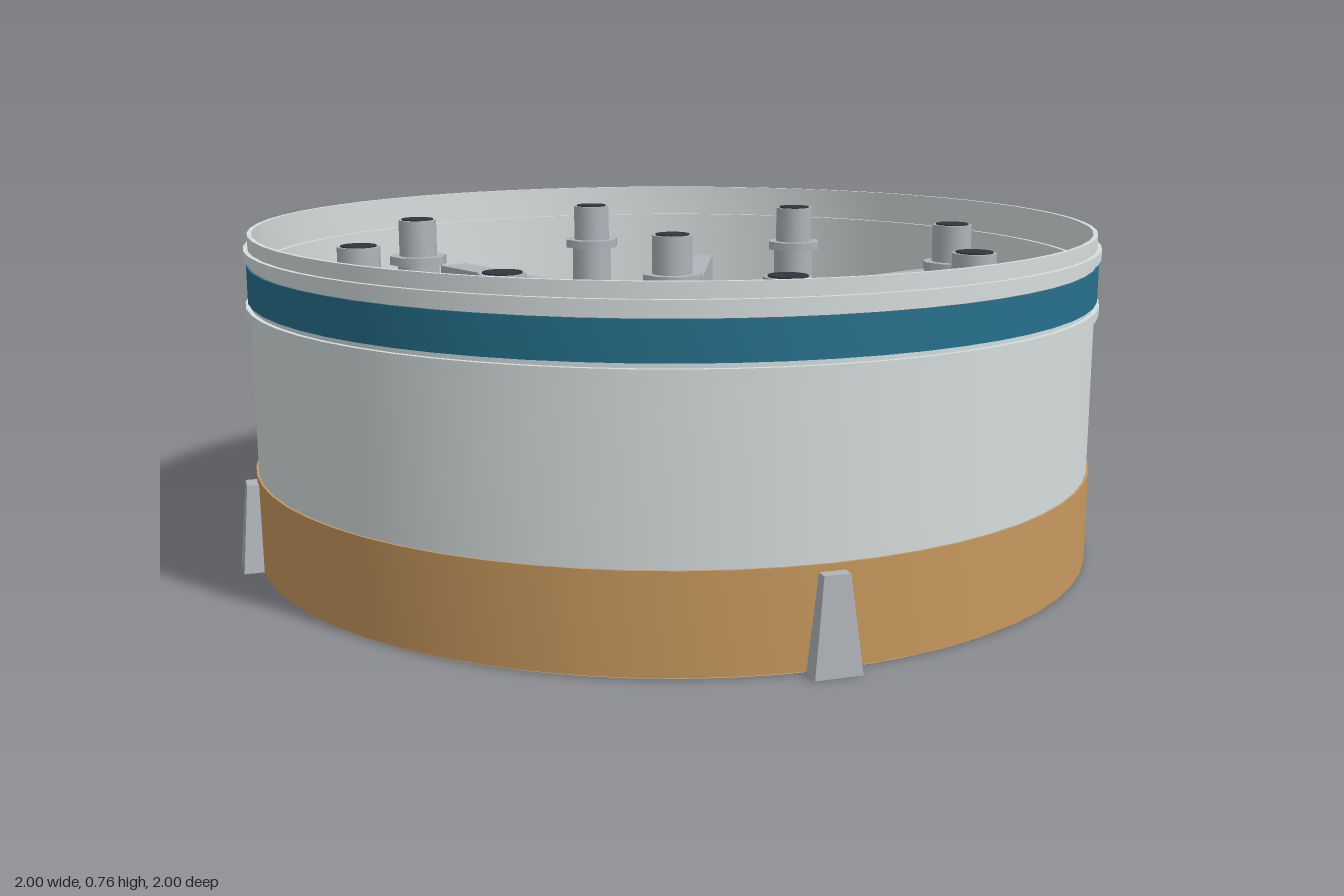
import * as THREE from 'three';
import { toCreasedNormals } from 'three/addons/utils/BufferGeometryUtils.js';

const SIDES = 64;

export function createModel() {
  const model = new THREE.Group();
  model.name = 'engineSection';

  const mat = (name, color, side = THREE.FrontSide) => {
    const m = new THREE.MeshStandardMaterial({ color, side });
    m.name = name;
    return m;
  };
  const white = mat('white shell', 0xd6dddd);
  const orange = mat('tan skirt', 0xc8985e);
  const teal = mat('teal stripe', 0x25708c);
  const metal = mat('grey metal', 0xb0b4ba, THREE.DoubleSide);
  const dark = mat('dark openings', 0x30353c);

  const add = (name, geometry, material, parent = model) => {
    const mesh = new THREE.Mesh(geometry, material);
    mesh.name = name;
    parent.add(mesh);
    return mesh;
  };

  // closed solid of revolution from a counter-clockwise [radius, y] outline
  const turned = (outline, sides = SIDES) => {
    const points = [...outline, outline[0]].map(([r, y]) => new THREE.Vector2(r, y));
    return toCreasedNormals(new THREE.LatheGeometry(points, sides), 0.8);
  };
  const ring = (rIn, rOut, y0, y1, sides) =>
    turned([[rIn, y0], [rOut, y0], [rOut, y1], [rIn, y1]], sides);
  const disc = (r, y0, y1, sides = SIDES) =>
    new THREE.CylinderGeometry(r, r, y1 - y0, sides).translate(0, (y0 + y1) / 2, 0);

  // outer wall, thinner at the top rim
  add('shell', turned([
    [0.968, 0], [0.988, 0], [0.988, 0.76], [0.978, 0.76], [0.978, 0.68], [0.968, 0.68],
  ]), white);
  add('skirt', ring(0.986, 0.993, 0.003, 0.215), orange);
  add('stripe', ring(0.986, 0.993, 0.61, 0.692), teal);
  add('lowerBand', ring(0.98, 0.998, 0.578, 0.6), white);
  add('upperBand', ring(0.98, 0.998, 0.705, 0.728), white);
  add('innerRib', ring(0.955, 0.972, 0.11, 0.13), white);

  // curved hatch on the side
  const deg = Math.PI / 180;
  add('hatch', new THREE.CylinderGeometry(0.995, 0.995, 0.2, 8, 1, true, 279 * deg, 16 * deg)
    .translate(0, 0.45, 0), metal);

  // floor: tan below, metal above
  add('floorUnderside', disc(0.972, 0.26, 0.285), orange);
  add('floorTop', disc(0.972, 0.285, 0.3), metal);

  // hub and radial beams
  add('hub', new THREE.CylinderGeometry(0.26, 0.26, 0.26, 32, 1, true).translate(0, 0.43, 0), metal);
  for (let i = 0; i < 8; i++) {
    const beam = add('beam', new THREE.BoxGeometry(0.085, 0.26, 0.71).translate(0, 0.43, 0.612), metal);
    beam.rotation.y = (i + 0.5) * Math.PI / 4;
  }

  // feed tubes with collars above the floor, round plates below
  const addTube = (x, z) => {
    const tube = new THREE.Group();
    tube.name = 'feedTube';
    tube.position.set(x, 0, z);
    add('lowerPipe', disc(0.054, 0.3, 0.62, 16), metal, tube);
    add('collar', disc(0.074, 0.615, 0.637, 8), metal, tube);
    add('upperPipe', disc(0.049, 0.63, 0.73, 16), metal, tube);
    add('pipeOpening', disc(0.041, 0.726, 0.733, 16), dark, tube);
    add('enginePlate', disc(0.168, 0.245, 0.262, 32), metal, tube);
    add('plateGasket', ring(0.166, 0.186, 0.25, 0.262, 32), dark, tube);
    model.add(tube);
  };
  addTube(0, 0);
  for (let i = 0; i < 8; i++) {
    const a = i * Math.PI / 4;
    addTube(0.745 * Math.sin(a), 0.745 * Math.cos(a));
  }

  // tapered clamps around the skirt
  for (let i = 0; i < 4; i++) {
    const g = new THREE.BoxGeometry(0.1, 0.2, 0.075).translate(0, 0.1, 0.9975);
    const p = g.attributes.position;
    for (let j = 0; j < p.count; j++) {
      if (p.getY(j) < 0.1) continue;
      p.setX(j, p.getX(j) * 0.55);
      if (p.getZ(j) > 1) p.setZ(j, 1.018);
    }
    g.computeVertexNormals();
    add('clamp', g, metal).rotation.y = (i + 0.5) * Math.PI / 2;
  }

  return model;
}
